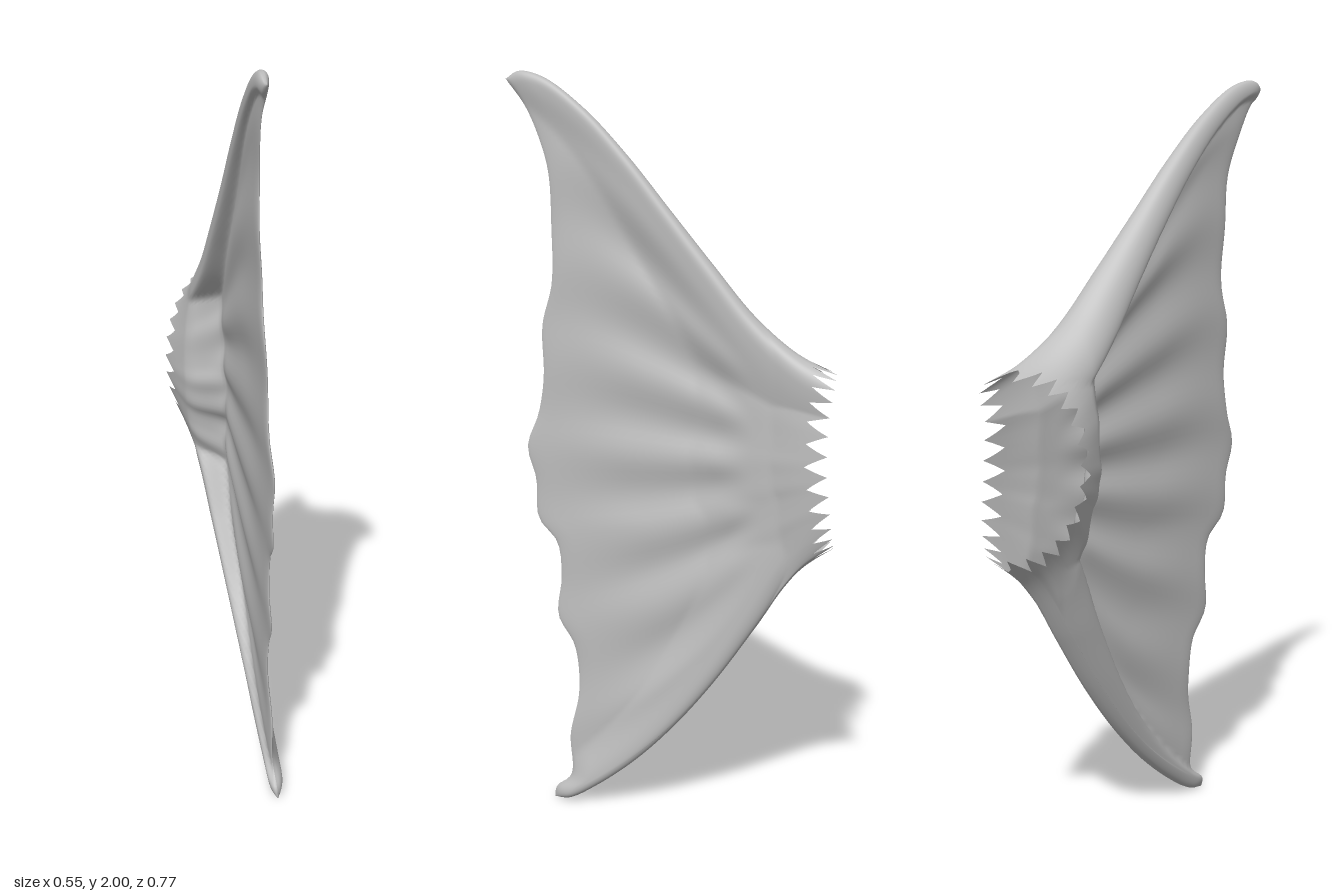
import * as THREE from 'three';

const curve = (pts) => new THREE.CatmullRomCurve3(pts.map(([z, y]) => new THREE.Vector3(z, y, 0)), false, 'centripetal');
const step = THREE.MathUtils.smoothstep;
const lerp = THREE.MathUtils.lerp;

// Outline of the fin as (z, y) points
const upperEdge = curve([[-0.385, 1.26], [-0.3, 1.3], [-0.2, 1.39], [-0.1, 1.52], [0, 1.655], [0.1, 1.79], [0.2, 1.905], [0.3, 1.985], [0.36, 2], [0.392, 1.98]]);
const lowerEdge = curve([[-0.385, 0.82], [-0.3, 0.74], [-0.2, 0.57], [-0.1, 0.405], [0, 0.265], [0.1, 0.15], [0.2, 0.06], [0.27, 0.012], [0.31, 0.005]]);
const trailingEdge = curve([[0.31, 0.005], [0.305, 0.035], [0.265, 0.08], [0.265, 0.2], [0.24, 0.33], [0.25, 0.46], [0.29, 0.54], [0.28, 0.65],
  [0.29, 0.75], [0.335, 0.81], [0.34, 0.92], [0.36, 1.01], [0.33, 1.1], [0.315, 1.2], [0.315, 1.34], [0.29, 1.45],
  [0.287, 1.6], [0.292, 1.74], [0.31, 1.82], [0.345, 1.91], [0.392, 1.98]]);

// Distance to the nearest leading edge, measured along the slanted sheet
const STRETCH = 1.151;
const edgeLines = [upperEdge, lowerEdge].flatMap((c) => {
  const p = c.getSpacedPoints(160).map((q) => new THREE.Vector3(q.x * STRETCH, q.y, 0));
  return p.slice(1).map((q, i) => new THREE.Line3(p[i], q));
});
const probe = new THREE.Vector3(), nearest = new THREE.Vector3();
function edgeDistance(z, y) {
  probe.set(z * STRETCH, y, 0);
  let best = 9;
  for (const line of edgeLines) {
    line.closestPointToPoint(probe, true, nearest);
    best = Math.min(best, nearest.distanceToSquared(probe));
  }
  return Math.sqrt(best);
}

// Rod along a leading edge: round rim of the given width, fading into the web
function rodProfile(d, width, fade) {
  if (d < width) return Math.sqrt(1 - (1 - d / width) ** 2);
  return 0.5 + 0.5 * Math.cos(Math.PI * Math.min(1, (d - width) / fade));
}

// Blend of the four outline curves; s runs from stalk to trailing edge, v from bottom to top
const tip0 = trailingEdge.getPointAt(0), tip1 = trailingEdge.getPointAt(1);
function patch(s, v) {
  const lo = lowerEdge.getPointAt(s), hi = upperEdge.getPointAt(s), tr = trailingEdge.getPointAt(v);
  const mix = (a) => lo[a] + (hi[a] - lo[a]) * v + s * (tr[a] - tip0[a] - (tip1[a] - tip0[a]) * v);
  return [mix('x'), mix('y')];
}

function finGeometry(rows = 80, cols = 112) {
  const ring = cols * 2;
  const pos = [], index = [];
  for (let i = 0; i <= rows; i++) {
    const s0 = 1 - (1 - i / rows) ** 1.4;
    for (let j = 0; j < ring; j++) {
      const outer = j <= cols;
      const k = outer ? j : ring - j;
      const v = 0.15 * k / cols + 0.85 * (1 - Math.cos(Math.PI * k / cols)) / 2;
      const arch = Math.sqrt(Math.max(0, 1 - (2 * v - 1) ** 2));

      // Torn, toothed rim at the open stalk end, cut further back in the middle
      const tooth = Math.abs((j % 8) - 4) / 4;
      const s = s0 + Math.max(0, 1 - s0 / 0.2) * (0.055 * tooth + 0.045 * arch);
      const [z, y] = patch(s, v);
      const d = edgeDistance(z, y);

      // Stalk and rods: shallow on the outer side, deep on the inner side
      const width = 0.032 + 0.055 * (1 - s) ** 1.1;
      const flare = 1 - Math.min(1, s / 0.2);
      const rod = outer
        ? lerp(0.03, 0.016 + 0.062 * (1 - s), v) * rodProfile(d, width * 0.8, width * 3.5)
        : (0.02 + 0.105 * (1 - s) ** 1.5) * rodProfile(d, width, width * 0.9);
      const stalk = arch * (outer
        ? (0.05 + 0.025 * flare) * (1 - step(s, 0.1, 0.6))
        : (0.12 + 0.08 * flare) * (1 - step(s, 0.18, 0.36)));
      let h = k === 0 || k === cols ? 0 : Math.max(rod, stalk, 0.006);
      if (s > 0.96) h *= Math.sqrt(Math.max(0, 1 - ((s - 0.96) / 0.04) ** 2));

      // Folds fanning out over the web
      const web = step(s, 0.26, 0.42) * step(d, width, width * 3) * (1 - 0.75 * step(s, 0.7, 1));
      const fold = 0.008 * web * Math.cos(16 * Math.PI * v);

      const sheet = -0.57 * z + 0.022 - 0.042 * y + 0.02 * flare;
      pos.push(sheet + (outer ? h : -h) + fold, y, z);
    }
  }
  for (let i = 0; i < rows; i++) {
    for (let j = 0; j < ring; j++) {
      const a = i * ring + j, b = i * ring + (j + 1) % ring;
      index.push(a, b, a + ring, b, b + ring, a + ring);
    }
  }
  const g = new THREE.BufferGeometry();
  g.setAttribute('position', new THREE.Float32BufferAttribute(pos, 3));
  g.setIndex(index);
  g.computeVertexNormals();
  return g;
}

export function createModel() {
  const model = new THREE.Group();
  model.name = 'tailFin';
  const grey = new THREE.MeshStandardMaterial({ color: 0xbcbcbc, side: THREE.DoubleSide });
  grey.name = 'grey';
  const fin = new THREE.Mesh(finGeometry(), grey);
  fin.name = 'finWithStalk';
  model.add(fin);
  return model;
}
